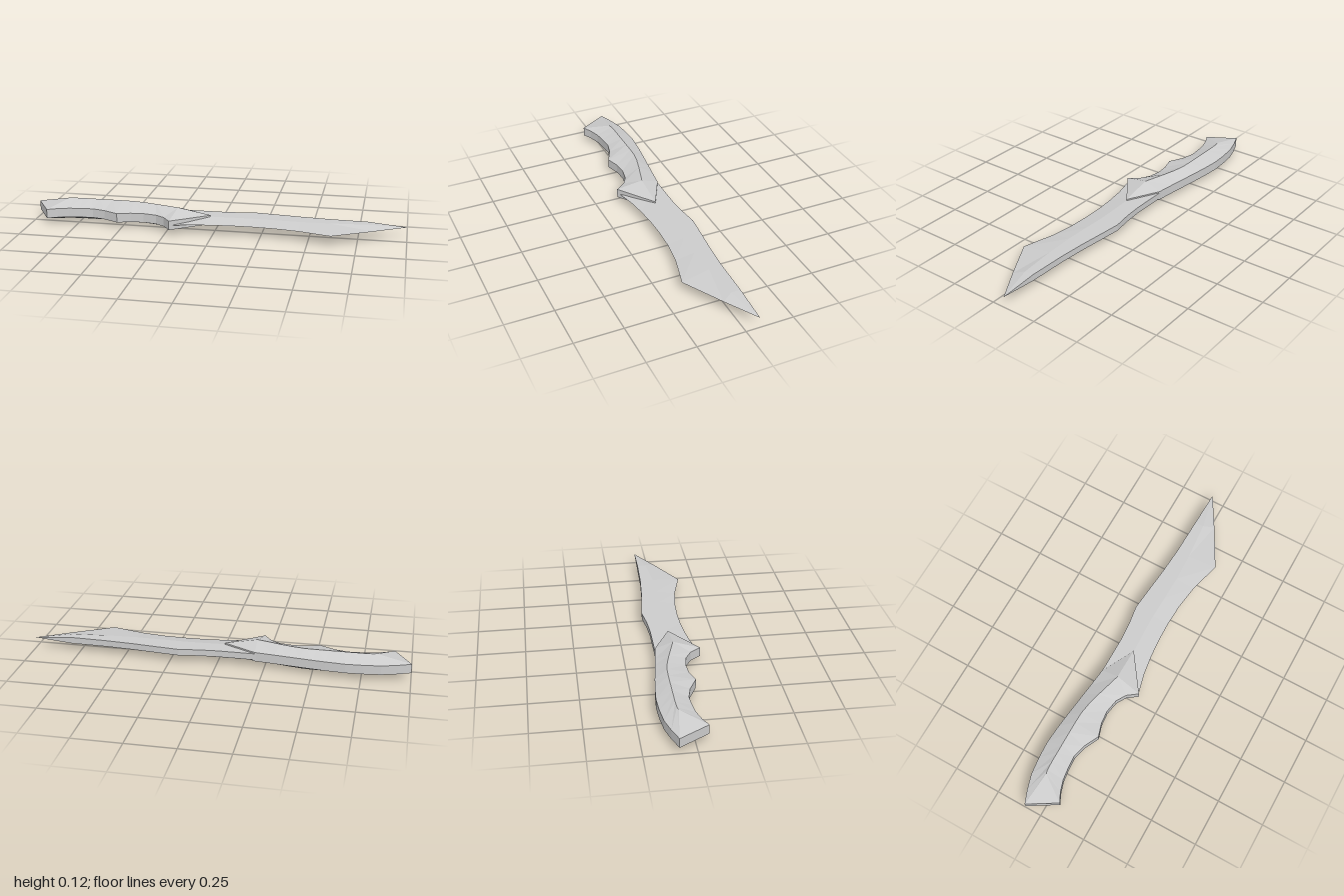
import * as THREE from 'three';

const MID = 0.0575; // height of the flat symmetry plane

// Mirrored slab from stations [x, z, halfThickness] along back, ridge and front lines
function slab(name, back, ridge, front) {
  const pos = [];
  const pt = ([x, z, h], s) => [x, MID + s * h, z];
  const quad = (a, b, c, d) => pos.push(...a, ...b, ...c, ...a, ...c, ...d);
  const tri = (a, b, c) => pos.push(...a, ...b, ...c);
  const n = back.length - 1;

  for (const s of [1, -1]) {
    // the underside uses the opposite corner order
    const face = (...p) => {
      const q = p.map((v) => pt(v, s));
      if (s < 0) q.reverse();
      (q.length === 4 ? quad : tri)(...q);
    };
    for (let i = 0; i < n; i++) {
      face(back[i], ridge[i], ridge[i + 1], back[i + 1]);
      face(ridge[i], front[i], front[i + 1], ridge[i + 1]);
    }
    face(back[0], front[0], ridge[0]);
    face(back[n], ridge[n], front[n]);
  }

  // side wall all round
  const wall = (a, b) => quad(pt(a, 1), pt(b, 1), pt(b, -1), pt(a, -1));
  for (let i = 0; i < n; i++) {
    wall(back[i], back[i + 1]);
    wall(front[i + 1], front[i]);
  }
  wall(front[0], back[0]);
  wall(back[n], front[n]);

  const geo = new THREE.BufferGeometry();
  geo.setAttribute('position', new THREE.Float32BufferAttribute(pos, 3));
  geo.computeVertexNormals();
  const mesh = new THREE.Mesh(geo, new THREE.MeshStandardMaterial({ color: 0xcccccc, flatShading: true }));
  mesh.name = name;
  return mesh;
}

const withThickness = (points, h) => points.map(([x, z]) => [x, z, h]);

export function createModel() {
  const group = new THREE.Group();
  group.name = 'knife';

  // Handle: finger grooves at the front, pointed guard at the blade end
  const handleBack = [
    [-1, -0.085], [-0.93, -0.112], [-0.85, -0.135], [-0.76, -0.145], [-0.67, -0.149], [-0.57, -0.141],
    [-0.5, -0.133], [-0.43, -0.124], [-0.36, -0.115], [-0.3, -0.107], [-0.2, -0.095], [-0.025, -0.004],
  ];
  const handleRidge = [
    [-0.82, -0.063], [-0.8, -0.068], [-0.75, -0.07], [-0.7, -0.07], [-0.65, -0.07], [-0.58, -0.07],
    [-0.52, -0.07], [-0.46, -0.068], [-0.4, -0.058], [-0.33, -0.04], [-0.2, -0.002], [-0.2, -0.002],
  ];
  const handleFront = [
    [-0.91, 0.065], [-0.86, 0.04], [-0.8, 0.021], [-0.74, 0.013], [-0.67, 0.008], [-0.6, 0.025],
    [-0.52, 0.065], [-0.45, 0.043], [-0.38, 0.037], [-0.31, 0.05], [-0.26, 0.08], [-0.22, 0.135],
  ];
  group.add(slab('handle',
    withThickness(handleBack, 0.0245),
    withThickness(handleRidge, 0.0575),
    withThickness(handleFront, 0.0245)));

  // Blade: flat spine, bevel down to a sharp edge, all lines meeting at the tip
  const h = 0.017;
  const tip = [1, -0.07, 0];
  const spine = [
    [-0.22, -0.096], [-0.1, -0.095], [0, -0.095], [0.1, -0.102], [0.2, -0.116],
    [0.32, -0.104], [0.45, -0.09], [0.6, -0.079], [0.8, -0.073],
  ];
  const bevel = [
    [-0.2, 0], [-0.1, -0.002], [0, -0.004], [0.1, -0.008], [0.2, -0.01],
    [0.32, -0.006], [0.45, -0.003], [0.6, -0.008], [0.8, -0.025],
  ];
  const edge = [
    [-0.2, 0.126], [-0.1, 0.102], [0, 0.088], [0.1, 0.08], [0.2, 0.078],
    [0.32, 0.083], [0.45, 0.101], [0.62, 0.146], [0.83, 0.03],
  ];
  group.add(slab('blade',
    [...withThickness(spine, h), tip],
    [...withThickness(bevel, h), tip],
    [...withThickness(edge, 0), tip]));

  return group;
}
